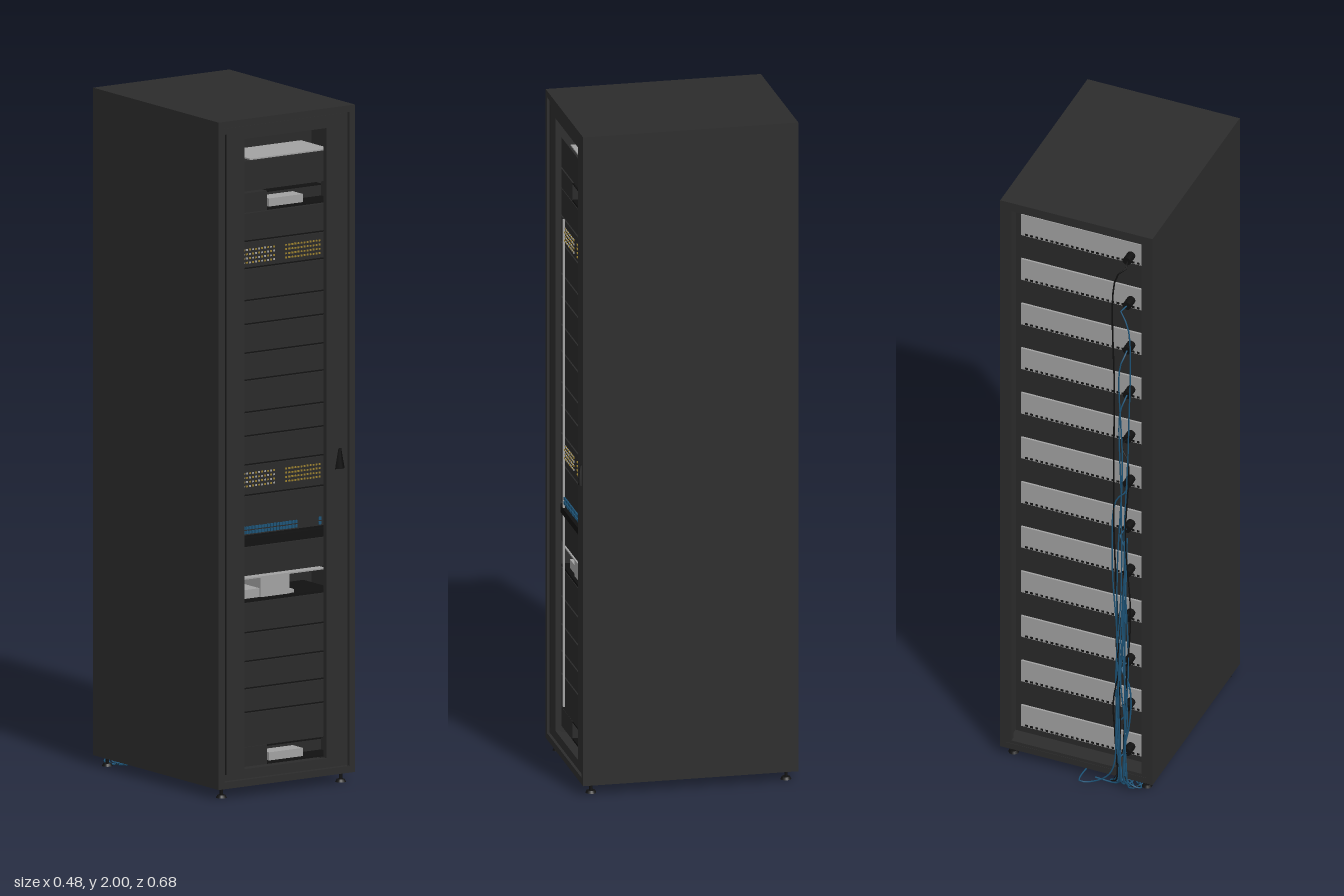
import * as THREE from 'three';
import { mergeGeometries } from 'three/addons/utils/BufferGeometryUtils.js';

const mat = (name, color) => {
  const m = new THREE.MeshStandardMaterial({ color });
  m.name = name;
  return m;
};

export function createModel() {
  const rack = new THREE.Group();
  rack.name = 'serverRack';
  const body = mat('charcoal', 0x2c2c2c);
  const black = mat('black', 0x111111);
  const bezel = mat('bezelGrey', 0x292929);
  const metal = mat('lightMetal', 0xa2a2a2);
  const yellow = mat('portYellow', 0x9a8030);
  const blue = mat('cableBlue', 0x1d5478);

  const add = (name, geo, m) => {
    const mesh = new THREE.Mesh(geo, m);
    mesh.name = name;
    rack.add(mesh);
    return mesh;
  };
  // Box geometry from its limits
  const box = (x0, x1, y0, y1, z0, z1) =>
    new THREE.BoxGeometry(x1 - x0, y1 - y0, z1 - z0)
      .translate((x0 + x1) / 2, (y0 + y1) / 2, (z0 + z1) / 2);
  // Rectangular frame, symmetric in x, extruded along z
  const frame = (w, y0, y1, hw, h0, h1, z0, z1) => {
    const rect = (P, a, b, c) => {
      const p = new P();
      p.moveTo(-a, b); p.lineTo(a, b); p.lineTo(a, c); p.lineTo(-a, c); p.closePath();
      return p;
    };
    const s = rect(THREE.Shape, w, y0, y1);
    s.holes.push(rect(THREE.Path, hw, h0, h1));
    return new THREE.ExtrudeGeometry(s, { depth: z1 - z0, bevelEnabled: false }).translate(0, 0, z0);
  };

  // Cabinet shell, rear frame and front door
  add('cabinetShell', frame(0.24, 0.03, 2, 0.22, 0.05, 1.98, -0.3, 0.34), body);
  add('rearFrame', frame(0.22, 0.05, 1.98, 0.205, 0.06, 1.97, -0.299, -0.285), body);
  add('frontDoor', frame(0.218, 0.052, 1.978, 0.145, 0.08, 1.94, 0.318, 0.333), body);
  add('hingeSeam', box(-0.213, -0.209, 0.07, 1.96, 0.333, 0.334), black);
  add('innerCore', box(-0.219, 0.219, 0.051, 1.979, -0.235, 0.15), bezel);

  // Door handle
  const handle = add('doorHandle', new THREE.CylinderGeometry(0.005, 0.017, 0.06, 4), black);
  handle.position.set(0.19, 0.96, 0.335);
  handle.scale.z = 0.5;

  // Front units: [bottom, top], with dark seams left between them
  const units = [[0.135, 0.24], [0.24, 0.31], [0.31, 0.39], [0.39, 0.475], [0.475, 0.565],
    [0.64, 0.73], [0.76, 0.88], [0.88, 0.97], [0.97, 1.055], [1.055, 1.125], [1.125, 1.22],
    [1.22, 1.3], [1.3, 1.385], [1.385, 1.455], [1.455, 1.55], [1.55, 1.63], [1.63, 1.715],
    [1.775, 1.87]];
  add('frontUnits', mergeGeometries(units.map(([a, b]) =>
    box(-0.19, 0.19, a + 0.003, b - 0.003, 0.15, 0.305))), bezel);
  add('unitSeams', box(-0.19, 0.19, 0.135, 0.565, 0.15, 0.298), black);
  add('upperUnitSeams', box(-0.19, 0.19, 0.645, 1.71, 0.15, 0.298), black);
  add('topUnitLid', box(-0.1, 0.18, 1.867, 1.871, 0.152, 0.298), metal);
  add('sideRail', box(-0.152, -0.145, 0.15, 1.63, 0.305, 0.31), metal);

  // Half-open drive bays with a bright chassis inside
  for (const y of [0.08, 1.715]) {
    add('bayBlank', box(-0.19, -0.045, y, y + 0.057, 0.15, 0.305), bezel);
    add('bayBack', box(-0.045, 0.19, y, y + 0.057, 0.15, 0.24), bezel);
    add('bayChassis', box(-0.03, 0.09, y + 0.006, y + 0.03, 0.24, 0.292), metal);
    add('bayLip', box(-0.045, 0.19, y, y + 0.006, 0.24, 0.305), black);
    add('bayTop', box(-0.045, 0.145, y + 0.053, y + 0.057, 0.24, 0.305), black);
  }

  // Open shelf with loose equipment
  add('shelfBase', box(-0.19, 0.19, 0.565, 0.572, 0.15, 0.305), black);
  add('shelfBox', box(-0.145, -0.06, 0.572, 0.598, 0.2, 0.29), metal);
  add('shelfDevice', box(-0.062, 0.04, 0.572, 0.632, 0.2, 0.295), metal);
  add('shelfTray', box(0.04, 0.06, 0.572, 0.582, 0.2, 0.29), metal);
  add('shelfTopEdge', box(-0.16, 0.16, 0.632, 0.636, 0.27, 0.305), metal);
  add('drawerGap', box(-0.19, 0.19, 0.735, 0.755, 0.15, 0.312), black);

  // Patch panels: rows of small ports
  const yellowPorts = [], metalPorts = [], bluePorts = [];
  for (const y of [0.905, 1.565]) {
    for (const x0 of [-0.142, 0.018]) {
      for (let r = 0; r < 4; r++) for (let c = 0; c < 12; c++) {
        const x = x0 + c * 0.0107, yy = y + r * 0.0125;
        const g = box(x, x + 0.0055, yy, yy + 0.005, 0.305, 0.308);
        (x0 < 0 && (r + c) % 2 ? metalPorts : yellowPorts).push(g);
      }
    }
  }
  for (let r = 0; r < 2; r++) for (let c = 0; c < 20; c++) {
    const x = -0.143 + (c === 19 ? 0.278 : c * 0.0108);
    bluePorts.push(box(x, x + 0.008, 0.767 + r * 0.013, 0.776 + r * 0.013, 0.305, 0.309));
  }
  add('yellowPorts', mergeGeometries(yellowPorts), yellow);
  add('metalPorts', mergeGeometries(metalPorts), metal);
  add('bluePorts', mergeGeometries(bluePorts), blue);

  // Rear power units, each with vent slots, a socket and a hanging cable
  for (let i = 0; i < 12; i++) {
    const y = 0.075 + i * 0.161;
    add('rearPanel', box(-0.2, 0.2, y, y + 0.075, -0.241, -0.235), metal);
    const vents = [];
    for (let c = 0; c < 24; c++) {
      const x = -0.19 + c * 0.016;
      vents.push(box(x, x + 0.008, y + 0.003, y + 0.009, -0.243, -0.241));
    }
    add('rearVents', mergeGeometries(vents), black);
    const plug = add('rearPlug', new THREE.CylinderGeometry(0.013, 0.013, 0.035, 12).rotateX(Math.PI / 2), black);
    plug.position.set(-0.148, y + 0.03, -0.258);

    const k = Math.sin(i * 2.4), q = Math.cos(i * 3.7);
    const x = -0.15 + k * 0.022, z = -0.307 - 0.006 * (1 + q);
    const pts = [[-0.148, y + 0.03, -0.27], [-0.148 + q * 0.01, y + 0.025, -0.3], [x, y - 0.01, z]];
    for (let s = 1; s < 4; s++) {
      const yy = y + (0.07 - y) * s / 4;
      if (y > 0.3) pts.push([x + Math.sin(i + s * 2) * 0.01, yy, z - 0.008 * Math.abs(Math.sin(s + i))]);
    }
    pts.push([x, 0.03, z], [x + k * 0.03, 0.006, -0.295], [-0.14 + q * 0.06, 0.006, -0.22 - 0.03 * k]);
    const path = new THREE.CatmullRomCurve3(pts.map(p => new THREE.Vector3(...p)), false, 'centripetal');
    add('powerCable', new THREE.TubeGeometry(path, 60, 0.0024, 6), i % 4 === 3 ? black : blue);
  }

  // Loose cable loops near the floor
  const loops = [
    [[-0.15, 0.6, -0.3], [-0.14, 0.3, -0.33], [-0.12, 0.06, -0.328], [-0.06, 0.012, -0.332],
      [-0.025, 0.008, -0.336], [-0.018, 0.006, -0.31], [-0.02, 0.006, -0.26]],
    [[-0.16, 0.9, -0.3], [-0.165, 0.5, -0.33], [-0.17, 0.1, -0.33], [-0.175, 0.01, -0.315], [-0.2, 0.006, -0.27]],
    [[-0.15, 0.75, -0.3], [-0.145, 0.4, -0.328], [-0.15, 0.06, -0.33], [-0.13, 0.01, -0.305], [-0.06, 0.006, -0.3]],
  ];
  for (const pts of loops) {
    const path = new THREE.CatmullRomCurve3(pts.map(p => new THREE.Vector3(...p)), false, 'centripetal');
    add('looseCable', new THREE.TubeGeometry(path, 48, 0.0024, 6), blue);
  }

  // Levelling feet
  for (const x of [-0.21, 0.21]) for (const z of [-0.27, 0.31]) {
    add('footPad', new THREE.CylinderGeometry(0.012, 0.016, 0.008, 12), black).position.set(x, 0.004, z);
    add('footStem', new THREE.CylinderGeometry(0.005, 0.005, 0.026, 8), black).position.set(x, 0.019, z);
  }
  return rack;
}
